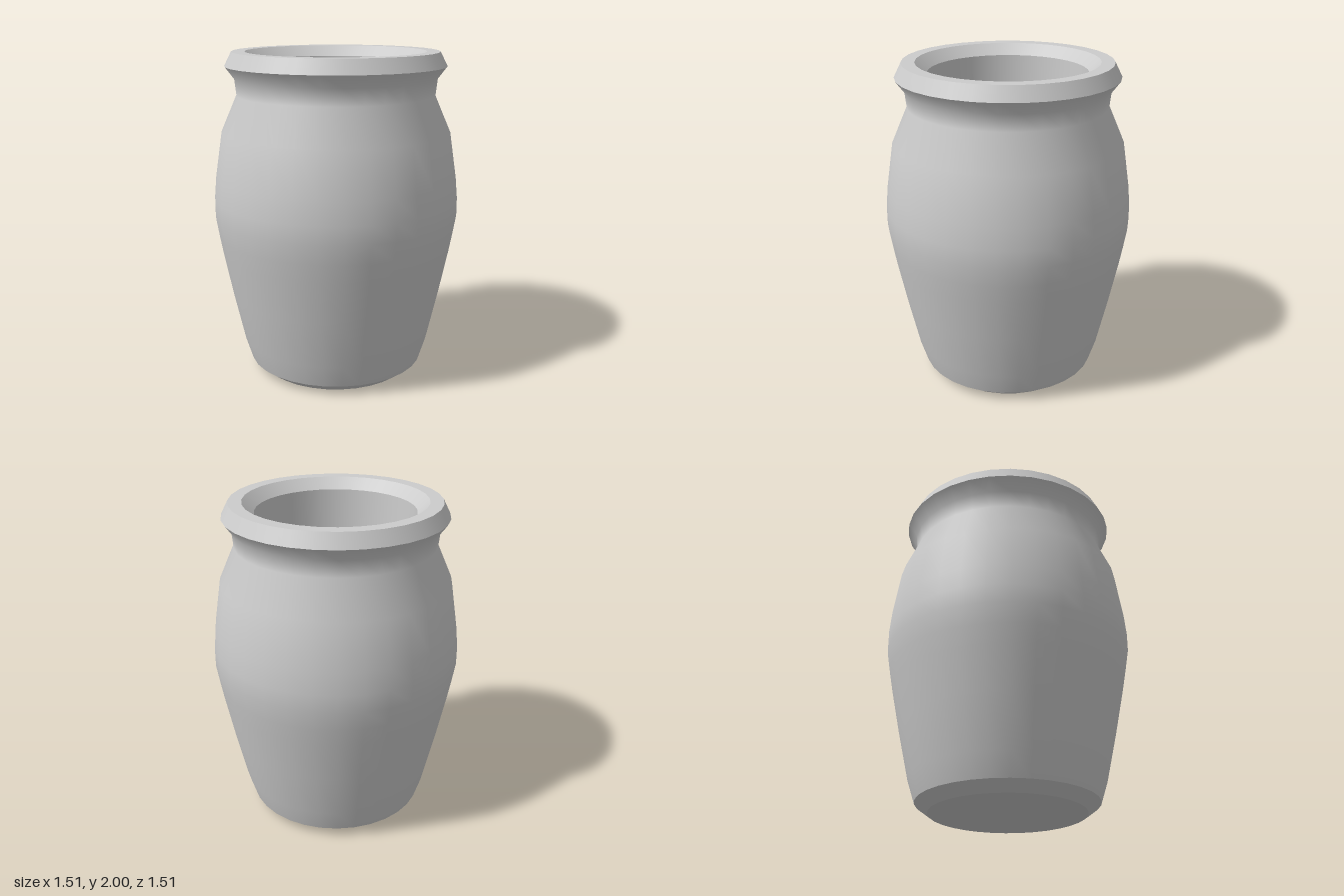
import * as THREE from 'three';

const SIDES = 32;

export function createModel() {
  const group = new THREE.Group();
  group.name = 'jar';
  const material = new THREE.MeshStandardMaterial({ color: 0xcccccc });

  // Each strip is smooth in itself; hard edges fall between strips.
  function strip(name, profile) {
    const points = profile.map(([r, y]) => new THREE.Vector2(r, y));
    const mesh = new THREE.Mesh(new THREE.LatheGeometry(points, SIDES), material);
    mesh.name = name;
    group.add(mesh);
  }

  // Outside, from the base up
  strip('base', [[0, 0], [0.47, 0]]);
  strip('baseBevel', [[0.47, 0], [0.548, 0.058]]);
  strip('body', [
    [0.548, 0.058], [0.593, 0.2], [0.66, 0.5], [0.715, 0.77], [0.735, 0.88],
    [0.755, 1.0], [0.755, 1.11], [0.743, 1.24], [0.7, 1.52],
    [0.604, 1.74], [0.615, 1.84], [0.671, 1.915],
  ]);
  strip('lip', [[0.671, 1.915], [0.628, 2]]);
  strip('rim', [[0.628, 2], [0.548, 2]]);

  // Inside, from the mouth down
  strip('mouthBevel', [[0.548, 2], [0.478, 1.935]]);
  strip('innerWall', [[0.478, 1.935], [0.41, 0.1]]);
  strip('innerFloor', [[0.41, 0.1], [0, 0.1]]);

  return group;
}
